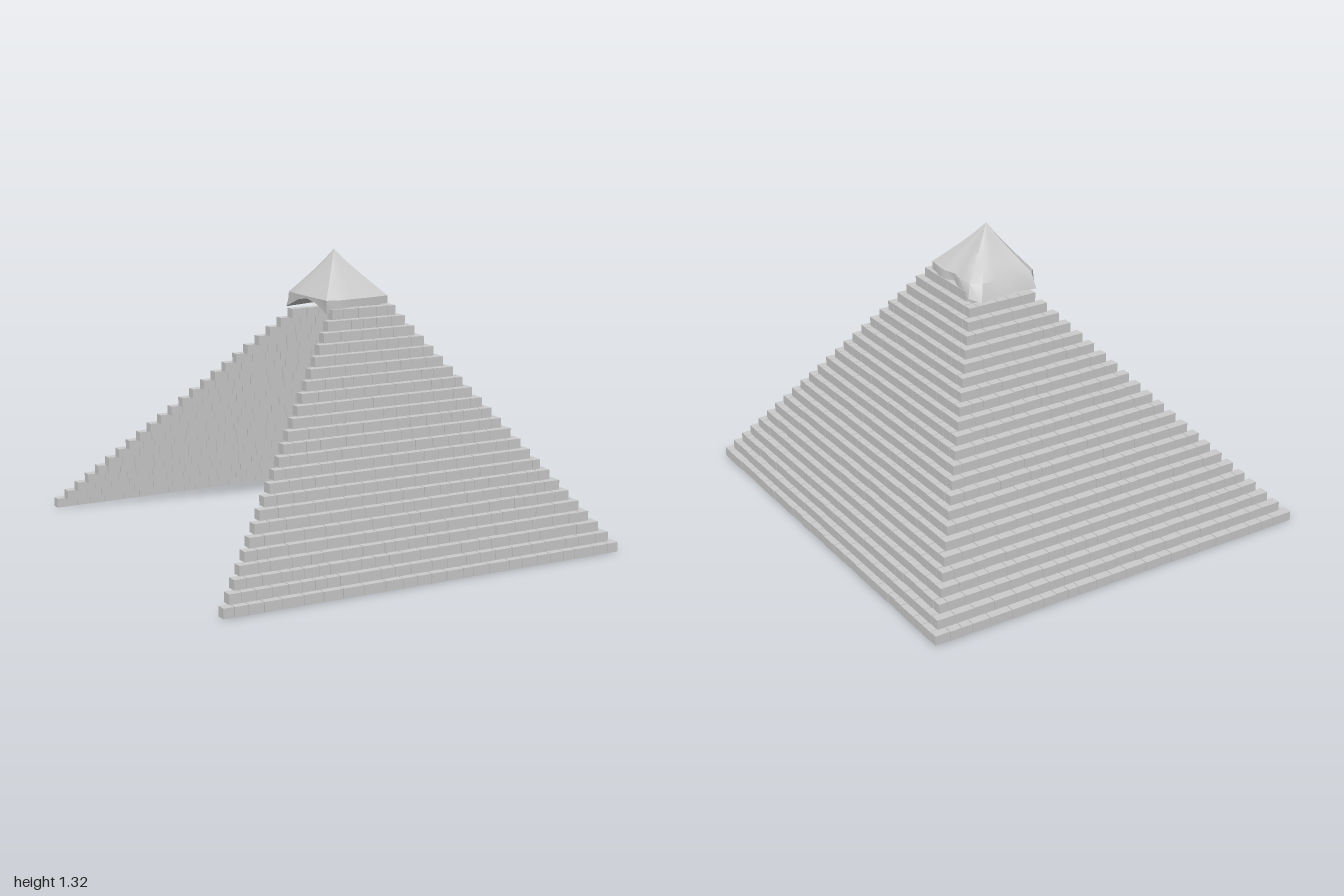
import * as THREE from 'three';
import { mergeGeometries, toCreasedNormals } from 'three/addons/utils/BufferGeometryUtils.js';

const LAYERS = 24, H = 0.0448, DEPTH = 0.046, GAP = 0.003;

let seed = 7;
const rand = () => (seed = (seed * 16807) % 2147483647) / 2147483647;

// One course of bricks from a to b along x or z; its outer face is at "face", and "out" is +1 or -1.
function addCourse(bricks, axis, a, b, layer, face, out) {
  let s = a;
  while (s < b - 0.001) {
    let w = 0.05 + rand() * 0.06;
    if (b - s - w < 0.04) w = b - s;
    const d = DEPTH - rand() * 0.003;
    const along = s + w / 2;
    const across = face - out * (DEPTH - d / 2);
    const atFace = face - out * d / 2;
    const len = w - GAP;
    const g = axis === 'x'
      ? new THREE.BoxGeometry(len, H - 0.001, d)
      : new THREE.BoxGeometry(d, H - 0.001, len);
    const y = (layer + 0.5) * H;
    // some bricks sit slightly back from the face
    const c = rand() < 0.3 ? across : atFace;
    g.translate(axis === 'x' ? along : c, y, axis === 'x' ? c : along);
    bricks.push(g);
    s += w;
  }
}

// Weathered capstone: [x, z, base height, rim flare] around the base, counter-clockwise from above
function capstoneGeometry() {
  const apex = [0.055, 1.32, 0.065];
  const base = [
    [-0.085, 0.245, 1.05, 1.06], [-0.045, 0.275, 1.075, 1], [0.04, 0.265, 1.08, 1],
    [0.11, 0.26, 1.08, 1], [0.18, 0.25, 1.08, 1], [0.235, 0.24, 1.08, 1],
    [0.25, 0.15, 1.075, 0.98], [0.25, 0.11, 1.075, 0.98], [0.23, 0.055, 1.08, 1],
    [0.25, -0.01, 1.07, 0.97], [0.255, -0.1, 1.05, 0.92], [0.215, -0.15, 1.04, 0.86],
    [0.13, -0.145, 1.045, 0.86], [0.05, -0.15, 1.05, 0.86], [-0.02, -0.14, 1.045, 0.87],
    [-0.08, -0.14, 1.04, 0.9], [-0.095, -0.1, 1.05, 0.97],
    [-0.095, 0.0, 1.09, 1], [-0.095, 0.08, 1.105, 1], [-0.095, 0.17, 1.09, 1],
  ];
  const toward = (p, k, y) => [apex[0] + (p[0] - apex[0]) * k, y, apex[2] + (p[1] - apex[2]) * k];
  const rings = [0.25, 0.5, 0.75, 1].map(t =>
    base.map(p => toward(p, t * p[3], 1.32 - 0.205 * Math.pow(t, 0.9))));
  rings.push(base.map(p => toward(p, 1, p[2])));

  const pos = [];
  const tri = (...v) => v.forEach(p => pos.push(...p));
  const n = base.length, last = rings[rings.length - 1];
  for (let i = 0; i < n; i++) {
    const j = (i + 1) % n;
    tri(apex, rings[0][i], rings[0][j]);
    for (let r = 0; r < rings.length - 1; r++) {
      const u = rings[r], l = rings[r + 1];
      tri(u[i], l[i], l[j]);
      tri(u[i], l[j], u[j]);
    }
    tri([0.08, 1.09, 0.065], last[j], last[i]);
  }
  const g = new THREE.BufferGeometry();
  g.setAttribute('position', new THREE.Float32BufferAttribute(pos, 3));
  return toCreasedNormals(g, 0.6);
}

export function createModel() {
  const group = new THREE.Group();
  group.name = 'openPyramid';
  const material = new THREE.MeshStandardMaterial({ color: 0xcccccc });
  const walls = { frontWall: [], rightWall: [], backWall: [] };

  // Three stepped brick walls; the -x side is open
  for (let i = 0; i < LAYERS; i++) {
    const top = i === LAYERS - 1;
    const xr = 0.984 - 0.0318 * i;
    const zf = 1 - 0.0313 * i;
    const zb = top ? -0.08 : -1 + 0.0384 * i;
    addCourse(walls.frontWall, 'x', -0.984 + 0.0394 * i, xr, i, zf, 1);
    addCourse(walls.rightWall, 'z', zb + (top ? 0 : DEPTH), zf - DEPTH, i, xr, 1);
    if (!top) addCourse(walls.backWall, 'x', -0.915 + 0.0386 * i, xr, i, zb, -1);
  }
  for (const [name, bricks] of Object.entries(walls)) {
    const mesh = new THREE.Mesh(mergeGeometries(bricks), material);
    mesh.name = name;
    group.add(mesh);
  }

  const cap = new THREE.Mesh(capstoneGeometry(), material);
  cap.name = 'capstone';
  group.add(cap);
  return group;
}
